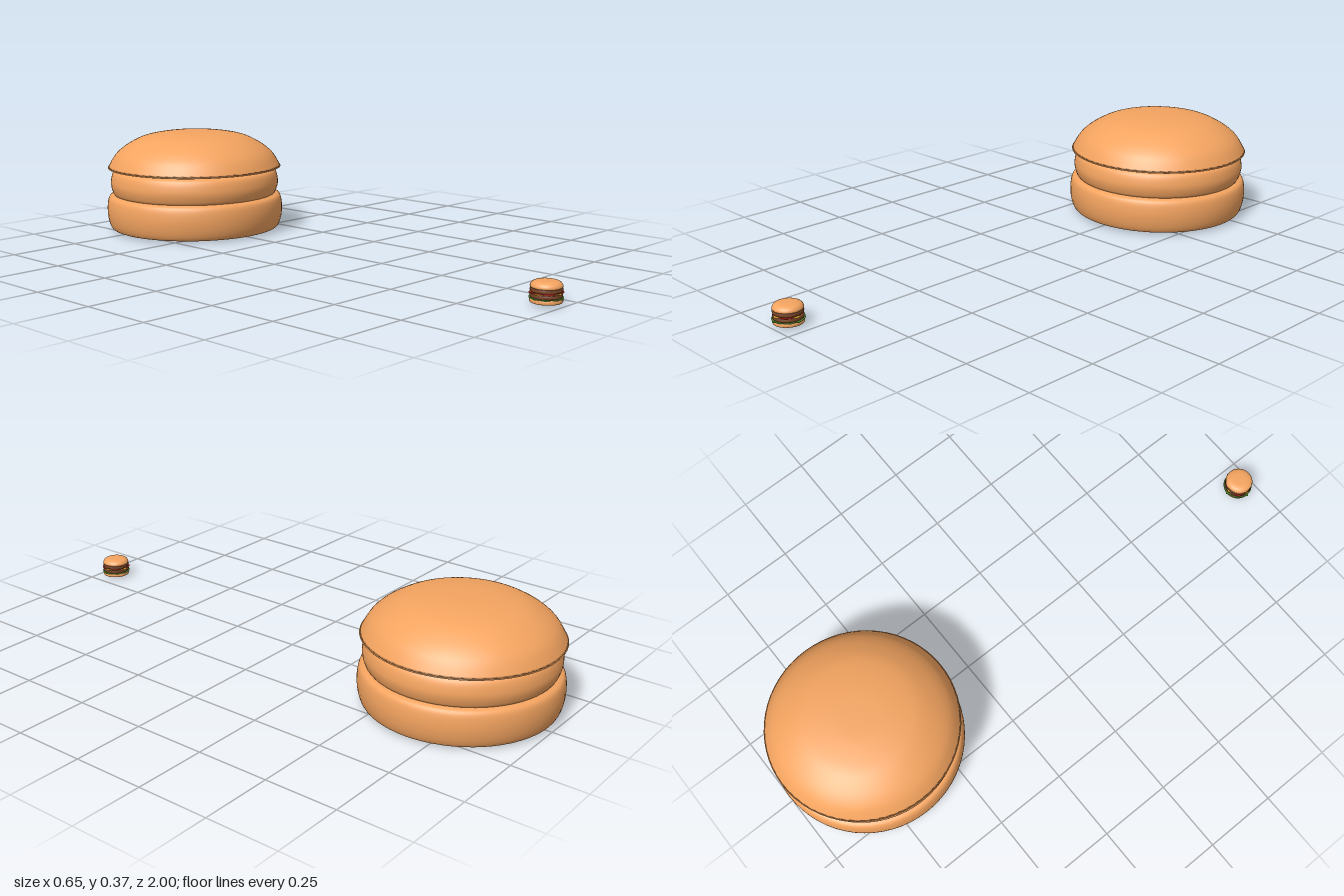
import * as THREE from 'three';

const mat = (color) => new THREE.MeshStandardMaterial({ color, side: THREE.DoubleSide });
const bunMat = mat(0xf4a460), pattyMat = mat(0x7a4526), lettuceMat = mat(0x4f8a2c);
const cheeseMat = mat(0xe8b030), tomatoMat = mat(0xc03020);

function add(group, name, geometry, material, y = 0) {
  const mesh = new THREE.Mesh(geometry, material);
  mesh.name = name;
  mesh.position.y = y;
  group.add(mesh);
  return mesh;
}

// Lathe through [radius, height] points, smoothed by a spline between a flat base and the axis
function turned(points, start, end) {
  const curve = new THREE.SplineCurve(points.map(([r, y]) => new THREE.Vector2(r, y)));
  const profile = [new THREE.Vector2(0, start), ...curve.getPoints(28)];
  if (end !== undefined) profile.push(new THREE.Vector2(0, end));
  profile.forEach((p) => { p.x = Math.max(p.x, 0); });
  return new THREE.LatheGeometry(profile, 64);
}

// Disc with rounded edges
function disc(r, h) {
  const e = h * 0.3;
  return turned([[r - e, 0], [r - e * 0.25, e * 0.35], [r, h / 2], [r - e * 0.25, h - e * 0.35], [r - e, h]], 0, h);
}

// Thin leaf with a ruffled edge
function ruffledLeaf(r) {
  const g = new THREE.CylinderGeometry(r, r, 0.001, 64, 1);
  const p = g.attributes.position;
  for (let i = 0; i < p.count; i++) {
    const a = Math.atan2(p.getZ(i), p.getX(i));
    if (Math.hypot(p.getX(i), p.getZ(i)) > r / 2) p.setY(i, p.getY(i) + 0.0012 * Math.sin(9 * a));
  }
  g.computeVertexNormals();
  return g;
}

function bigBurger() {
  const g = new THREE.Group();
  g.name = 'largeBurger';
  add(g, 'bottomBun', turned([[0.27, 0.004], [0.303, 0.007], [0.315, 0.018], [0.323, 0.045], [0.326, 0.078],
    [0.323, 0.11], [0.315, 0.128], [0.298, 0.135]], 0.001, 0.136), bunMat);
  add(g, 'middleBun', turned([[0.298, 0.134], [0.304, 0.143], [0.31, 0.163], [0.311, 0.182], [0.306, 0.207],
    [0.297, 0.222], [0.279, 0.229]], 0.134, 0.231), bunMat);
  // Overhanging dome with a flat underside
  add(g, 'topBunUnderside', turned([[0.27, 0.23], [0.317, 0.232], [0.319, 0.236]], 0.23), bunMat);
  add(g, 'topBun', turned([[0.319, 0.236], [0.301, 0.268], [0.281, 0.292], [0.248, 0.317], [0.2, 0.342],
    [0.15, 0.355], [0.08, 0.364], [0, 0.366]], 0.236), bunMat);
  g.position.z = -0.674;
  return g;
}

function smallBurger() {
  const g = new THREE.Group();
  g.name = 'smallBurger';
  add(g, 'bottomBun', disc(0.049, 0.013), bunMat, 0.008);
  add(g, 'lettuce', ruffledLeaf(0.051), lettuceMat, 0.022);
  // Square slices whose corners stick out past the bun
  add(g, 'lettuceSlice', new THREE.CylinderGeometry(0.057, 0.057, 0.001, 4), lettuceMat, 0.0225);
  add(g, 'lowerPatty', disc(0.048, 0.012), pattyMat, 0.0235);
  for (const s of [-1, 1]) {
    add(g, 'tomatoSlice', new THREE.CylinderGeometry(0.022, 0.022, 0.003, 32), tomatoMat, 0.0375)
      .position.set(s * 0.022, 0.0375, 0.02 * s);
  }
  add(g, 'cheese', new THREE.CylinderGeometry(0.053, 0.053, 0.001, 4), cheeseMat, 0.036);
  add(g, 'filling', new THREE.CylinderGeometry(0.041, 0.041, 0.005, 48), tomatoMat, 0.038);
  add(g, 'upperPatty', disc(0.048, 0.0125), pattyMat, 0.04);
  add(g, 'topBun', turned([[0.045, 0.052], [0.048, 0.055], [0.047, 0.061], [0.041, 0.068], [0.03, 0.072],
    [0.015, 0.0733], [0, 0.0735]], 0.052), bunMat);
  g.position.set(-0.078, 0, 0.943);
  return g;
}

export function createModel() {
  const model = new THREE.Group();
  model.name = 'burgers';
  model.add(bigBurger(), smallBurger());
  return model;
}
